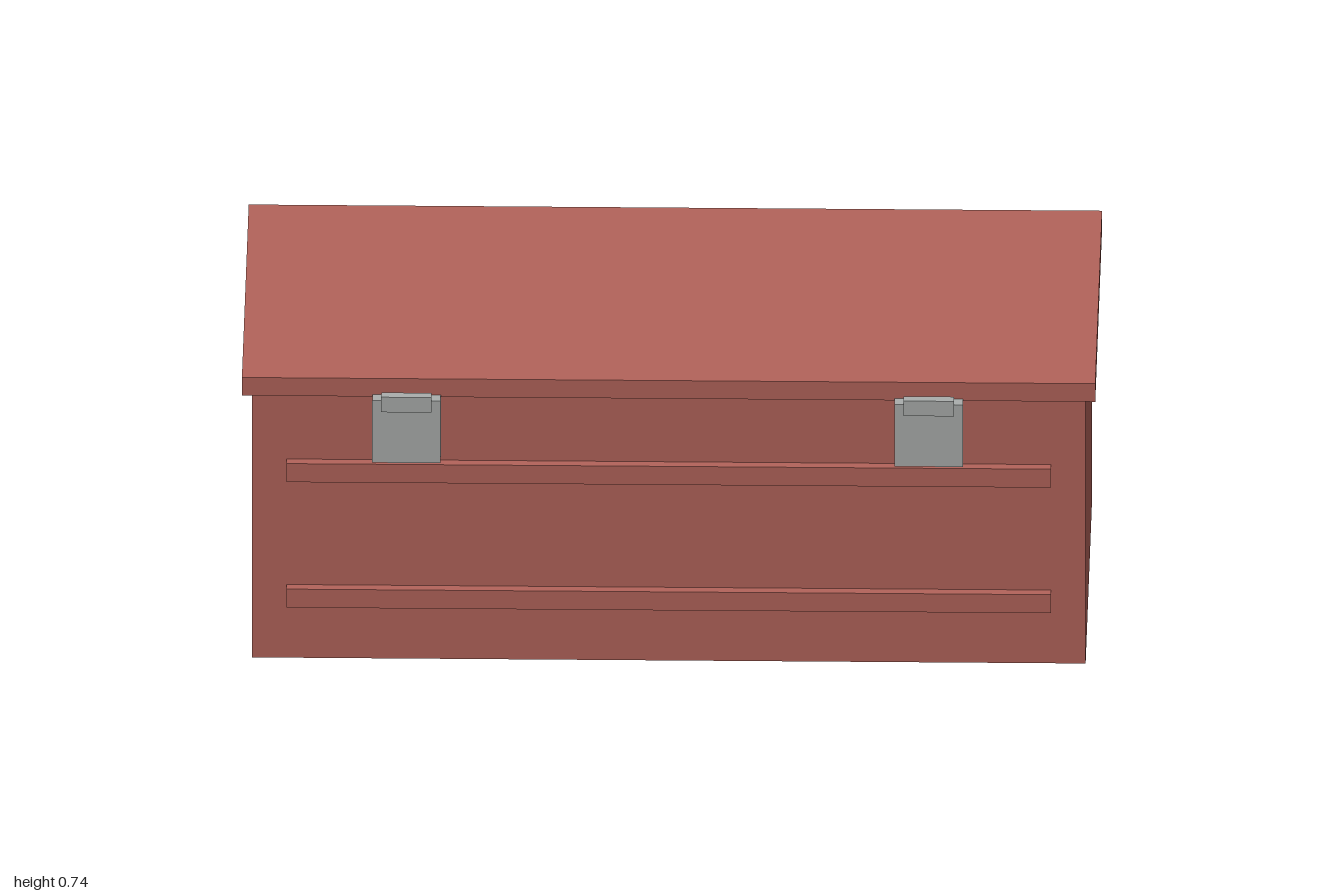
import * as THREE from 'three';

const red = new THREE.MeshStandardMaterial({ name: 'paintedRed', color: 0xb4645b });
const grey = new THREE.MeshStandardMaterial({ name: 'metalGrey', color: 0xabaead });

// Box given by its extents along each axis
function box(name, material, [x0, x1], [y0, y1], [z0, z1]) {
  const mesh = new THREE.Mesh(new THREE.BoxGeometry(x1 - x0, y1 - y0, z1 - z0), material);
  mesh.position.set((x0 + x1) / 2, (y0 + y1) / 2, (z0 + z1) / 2);
  mesh.name = name;
  return mesh;
}

export function createModel() {
  const chest = new THREE.Group();
  chest.name = 'toolChest';

  // Body and overhanging lid
  chest.add(box('body', red, [-0.977, 0.977], [0, 0.69], [-0.466, 0.431]));
  chest.add(box('lid', red, [-1, 1], [0.69, 0.737], [-0.487, 0.452]));

  // Two horizontal ribs on the front and on the back
  for (const y of [0.142, 0.468]) {
    chest.add(box('frontRib', red, [-0.896, 0.896], [y, y + 0.048], [0.425, 0.456]));
    chest.add(box('backRib', red, [-0.896, 0.896], [y, y + 0.048], [-0.491, -0.46]));
  }

  // Latches: a plate with a small raised clasp at its top
  for (const [side, x] of [['right', -0.614], ['left', 0.61]]) {
    const latch = new THREE.Group();
    latch.name = side + 'Latch';
    latch.position.x = x;
    latch.add(box('latchPlate', grey, [-0.08, 0.08], [0.534, 0.695], [0.445, 0.485]));
    latch.add(box('latchClasp', grey, [-0.059, 0.059], [0.669, 0.708], [0.468, 0.493]));
    chest.add(latch);
  }
  return chest;
}
